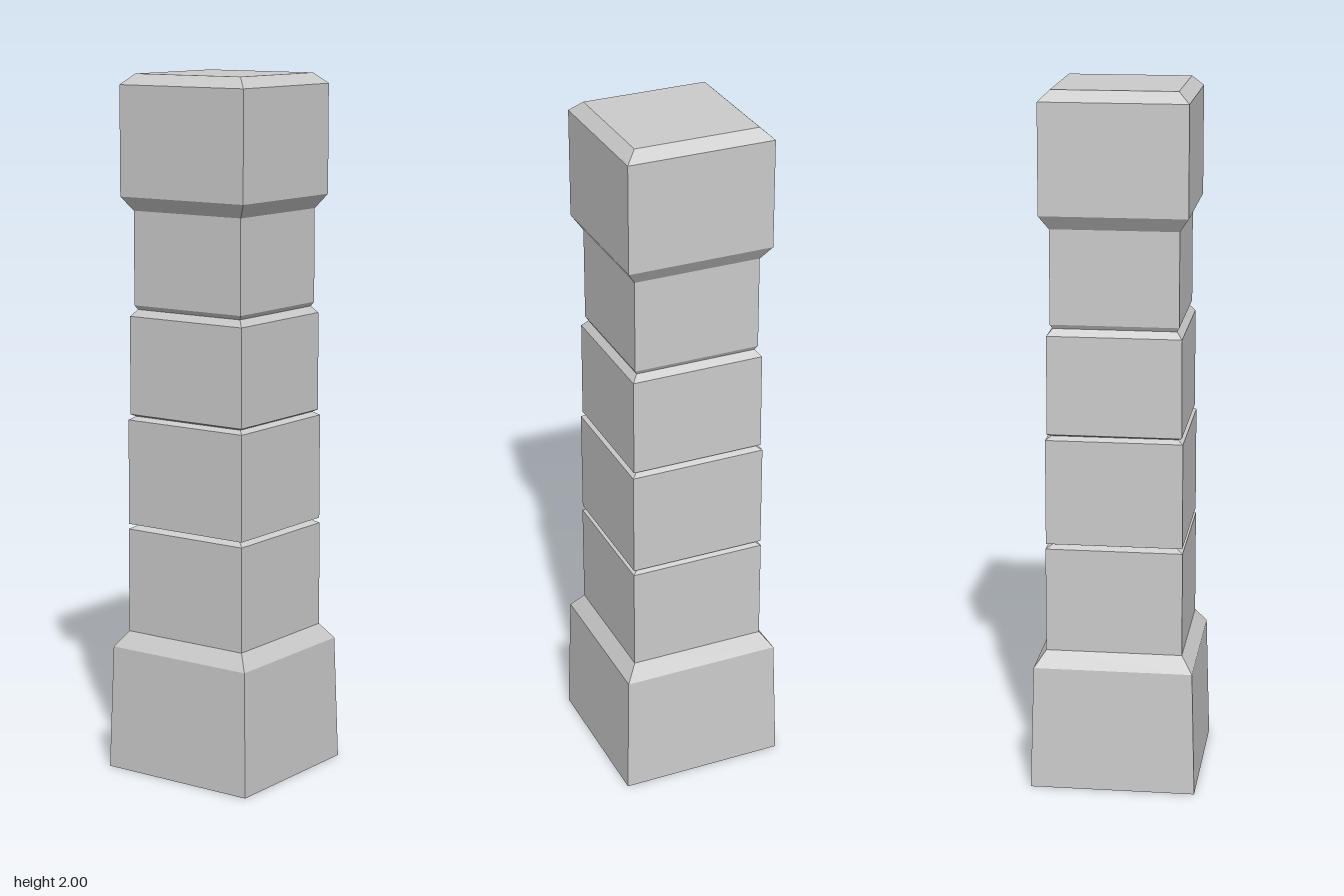
import * as THREE from 'three';

const DEPTH = 0.977; // the post is slightly shallower than wide

// Square section from a list of [half width, height], bottom to top
function squareSection(name, profile, material) {
  const points = profile.map(([half, y]) => new THREE.Vector2(half * Math.SQRT2, y));
  const geometry = new THREE.LatheGeometry(points, 4, Math.PI / 4);
  geometry.scale(1, 1, DEPTH);
  const mesh = new THREE.Mesh(geometry, material);
  mesh.name = name;
  return mesh;
}

export function createModel() {
  const group = new THREE.Group();
  group.name = 'stonePost';
  const stone = new THREE.MeshStandardMaterial({ color: 0xcccccc, flatShading: true });

  const sections = {
    // Tapered plinth with a sloped shoulder
    base: [[0, 0], [0.242, 0], [0.232, 0.36], [0.199, 0.405]],
    // Shaft blocks, each ending in the middle of a V groove
    lowerBlock: [[0.199, 0.405], [0.199, 0.707], [0.18, 0.717]],
    secondBlock: [[0.18, 0.717], [0.198, 0.722], [0.198, 1.025], [0.182, 1.035]],
    thirdBlock: [[0.182, 1.035], [0.194, 1.041], [0.193, 1.322], [0.177, 1.341]],
    upperBlock: [[0.177, 1.341], [0.184, 1.353], [0.184, 1.62]],
    // Flared head with a chamfered flat top
    cap: [[0.184, 1.62], [0.211, 1.66], [0.211, 1.97], [0.179, 2], [0, 2]],
  };
  for (const [name, profile] of Object.entries(sections)) {
    group.add(squareSection(name, profile, stone));
  }
  return group;
}
